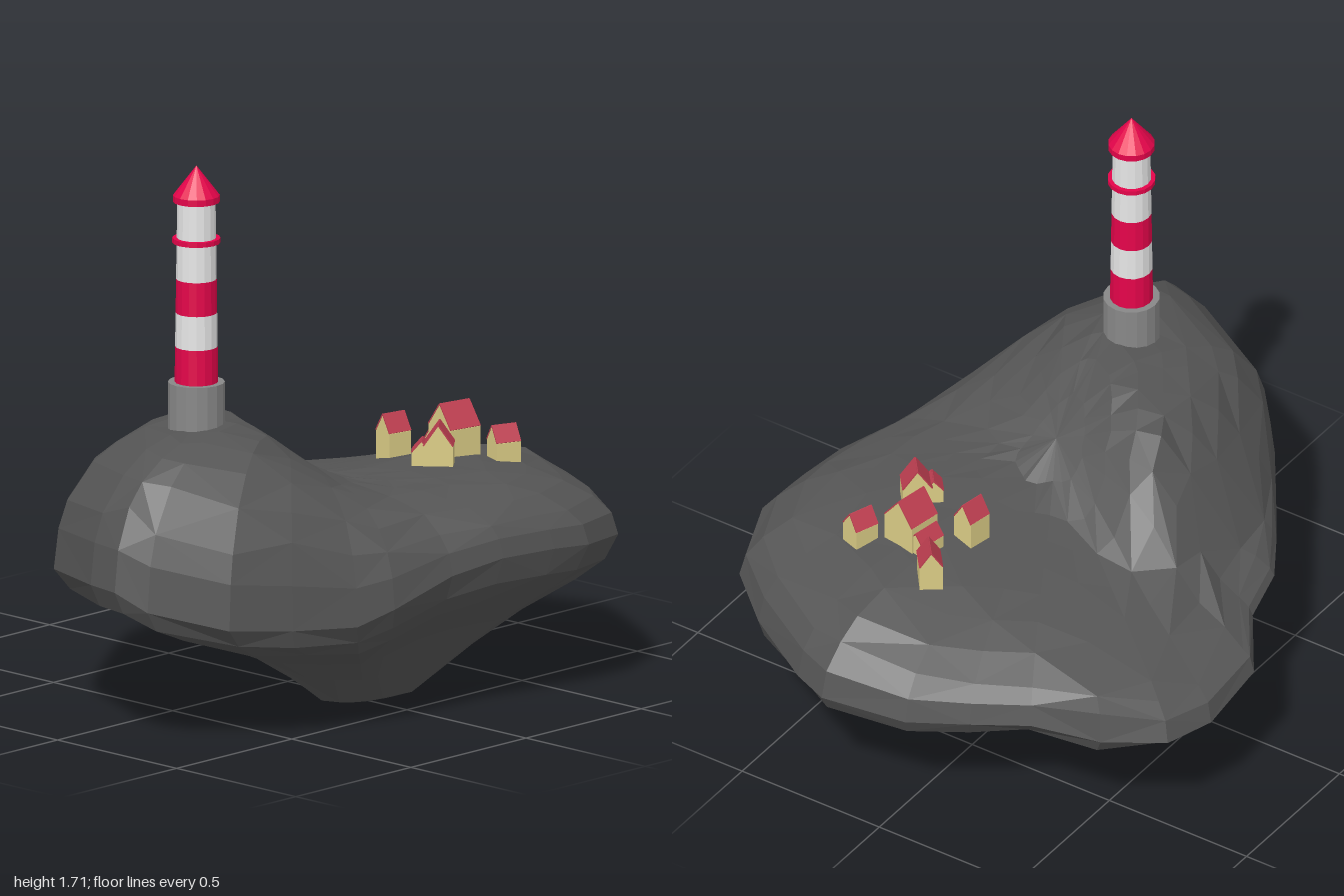
import * as THREE from 'three';

const mat = (name, color, flatShading = true) => {
  const m = new THREE.MeshStandardMaterial({ color, flatShading });
  m.name = name;
  return m;
};
const { lerp, clamp, smoothstep } = THREE.MathUtils;
// small repeatable noise in -0.5..0.5
const noise = (i, j) => {
  const s = Math.sin(i * 127.1 + j * 311.7) * 43758.5453;
  return s - Math.floor(s) - 0.5;
};

// widest outline of the island: x, y, z
const RIM = [
  [-1, .5, .24], [-.98, .5, .12], [-.83, .47, -.18], [-.73, .45, -.27], [-.56, .43, -.39], [-.4, .43, -.5],
  [-.24, .43, -.6], [-.05, .42, -.65], [.15, .39, -.79], [.41, .37, -.81], [.57, .37, -.76], [.68, .37, -.59],
  [.73, .37, -.37], [.84, .38, -.22], [.95, .39, -.06], [1, .4, .21], [.95, .4, .33], [.81, .42, .57],
  [.69, .46, .72], [.48, .48, .8], [.34, .49, .79], [.15, .49, .76], [-.03, .46, .72], [-.25, .39, .69],
  [-.37, .35, .65], [-.57, .36, .57], [-.76, .38, .49], [-.94, .44, .32],
];

// ground height: a sloping plateau on one side, a round hill on the other
function ground(x, z) {
  const plateau = .68 - .22 * Math.max(0, .2 - z);
  const hill = .915 - .55 * Math.max(0, .1 - z) ** 2 - .8 * Math.max(0, -.25 - z) - .35 * Math.max(0, z - .25);
  const width = clamp(.44 + .35 * z, .3, .55);
  const t = smoothstep(.11 - .3 * z - x, 0, width);
  return lerp(plateau, Math.max(hill, plateau), t);
}

// underside: distance from keel, share of rim height, change towards the front and the back
const KEEL = [
  [0, 0, 0, 0], [.12, .012, -.01, .04], [.2, .06, -.03, .07], [.42, .42, -.14, -.02],
  [.62, .61, -.11, -.03], [.83, .74, -.04, -.02], [.95, .86, -.03, 0],
];
// upper rings: distance from the middle
const DOME = [.98, .93, .84, .73, .61, .49, .37, .25, .13, 0];

function islandGeometry() {
  const n = RIM.length;
  const rings = [];
  KEEL.forEach(([f, share, front, back], r) => rings.push(RIM.map(([x, y, z], i) => {
    const g = f * (1 + (r > 1 ? .05 * noise(i, r) : 0));
    const dir = (z - .3) / Math.hypot(x - .03, z - .3);
    const t = share + Math.sqrt(Math.abs(dir)) * (dir > 0 ? front : back);
    return [lerp(.03, x, g), y * t, lerp(.3, z, g)];
  })));
  rings.push(RIM);
  DOME.forEach((f, r) => rings.push(RIM.map(([x, y, z], i) => {
    const g = r < 1 ? f : f * (1 + .035 * noise(i, r + 20));
    const px = lerp(-.1, x, g), pz = lerp(.1, z, g);
    // the thin back edge rises more abruptly
    const edge = smoothstep(-pz, .3, .6) * smoothstep(px, -.1, .2);
    const rise = Math.sqrt(Math.max(0, 1 - g ** 5)) ** lerp(1, .35, edge);
    const bump = f < .95 ? .014 * f * noise(i, r + 40) : 0;
    return [px, lerp(y, ground(px, pz), rise) + bump, pz];
  })));
  const index = [];
  const last = rings.length - 2;
  for (let r = 0; r <= last; r++) {
    for (let i = 0; i < n; i++) {
      const a = r * n + i, b = r * n + (i + 1) % n, d = a + n, c = b + n;
      if (r === 0) index.push(a, d, c);
      else if (r === last) index.push(a, d, b);
      else if ((i + r) % 2) index.push(a, d, b, b, d, c);
      else index.push(a, d, c, a, c, b);
    }
  }
  const geo = new THREE.BufferGeometry();
  geo.setAttribute('position', new THREE.Float32BufferAttribute(rings.flat(2), 3));
  geo.setIndex(index);
  geo.computeVertexNormals();
  return geo;
}

export function createModel() {
  const model = new THREE.Group();
  model.name = 'lighthouseIsland';
  const rock = mat('rock', 0x555555);
  const stone = mat('stone', 0x888888);
  const red = mat('signalRed', 0xe4044a);
  const white = mat('white', 0xe6e6e6);
  const roofRed = mat('roofRed', 0xbd3e50);
  const cream = mat('creamWall', 0xdccd86);

  const add = (parent, name, geo, material, x = 0, y = 0, z = 0) => {
    const m = new THREE.Mesh(geo, material);
    m.name = name;
    m.position.set(x, y, z);
    parent.add(m);
    return m;
  };

  add(model, 'island', islandGeometry(), rock);

  // lighthouse, stacked from bottom to top
  const tower = new THREE.Group();
  tower.name = 'lighthouse';
  tower.position.set(-.49, 0, .09);
  model.add(tower);
  const drum = (name, r0, r1, y0, y1, material) =>
    add(tower, name, new THREE.CylinderGeometry(r1, r0, y1 - y0, 16), material, 0, (y0 + y1) / 2, 0);
  drum('towerBase', .086, .086, .84, 1.04, stone);
  const bands = [1.04, 1.15, 1.255, 1.36, 1.6];
  const radius = y => lerp(.066, .058, (y - 1.04) / .56);
  for (let i = 0; i < 4; i++) {
    drum('towerBand', radius(bands[i]), radius(bands[i + 1]), bands[i], bands[i + 1], i % 2 ? white : red);
  }
  drum('galleryRing', .073, .073, 1.473, 1.488, red);
  drum('roofRim', .071, .071, 1.6, 1.62, red);
  drum('towerRoof', .071, 0, 1.62, 1.712, red);

  // gabled house: ridge along its own x, w long and d deep
  function house(name, x, z, w, d, eave, peak, degrees) {
    const g = new THREE.Group();
    g.name = name;
    g.position.set(x, 0, z);
    g.rotation.y = THREE.MathUtils.degToRad(degrees);
    model.add(g);
    const h = d / 2, foot = .6;
    const gable = new THREE.Shape([[-h, foot], [h, foot], [h, eave], [0, peak], [-h, eave]]
      .map(p => new THREE.Vector2(...p)));
    const walls = new THREE.ExtrudeGeometry(gable, { depth: w, bevelEnabled: false });
    walls.translate(0, 0, -w / 2).rotateY(Math.PI / 2);
    add(g, 'walls', walls, cream);
    const slope = Math.atan2(peak - eave, h);
    for (const s of [-1, 1]) {
      const panel = add(g, 'roofPanel', new THREE.BoxGeometry(w + .002, .004, Math.hypot(h, peak - eave)),
        roofRed, 0, (eave + peak) / 2 + .001, s * h / 2);
      panel.rotation.x = s * slope;
    }
  }
  house('mainHouse', .475, .24, .11, .115, .755, .827, -10);
  house('mainHouseAnnex', .49, .175, .09, .06, .7, .738, -10);
  house('northHouse', .355, .1, .08, .07, .735, .79, -10);
  house('eastHouse', .588, .095, .085, .07, .715, .767, 40);
  house('westHouse', .318, .327, .075, .09, .74, .805, 40);
  house('westHouseAnnex', .281, .292, .06, .06, .72, .755, 40);
  house('southHouse', .555, .37, .08, .07, .715, .764, -20);

  return model;
}
